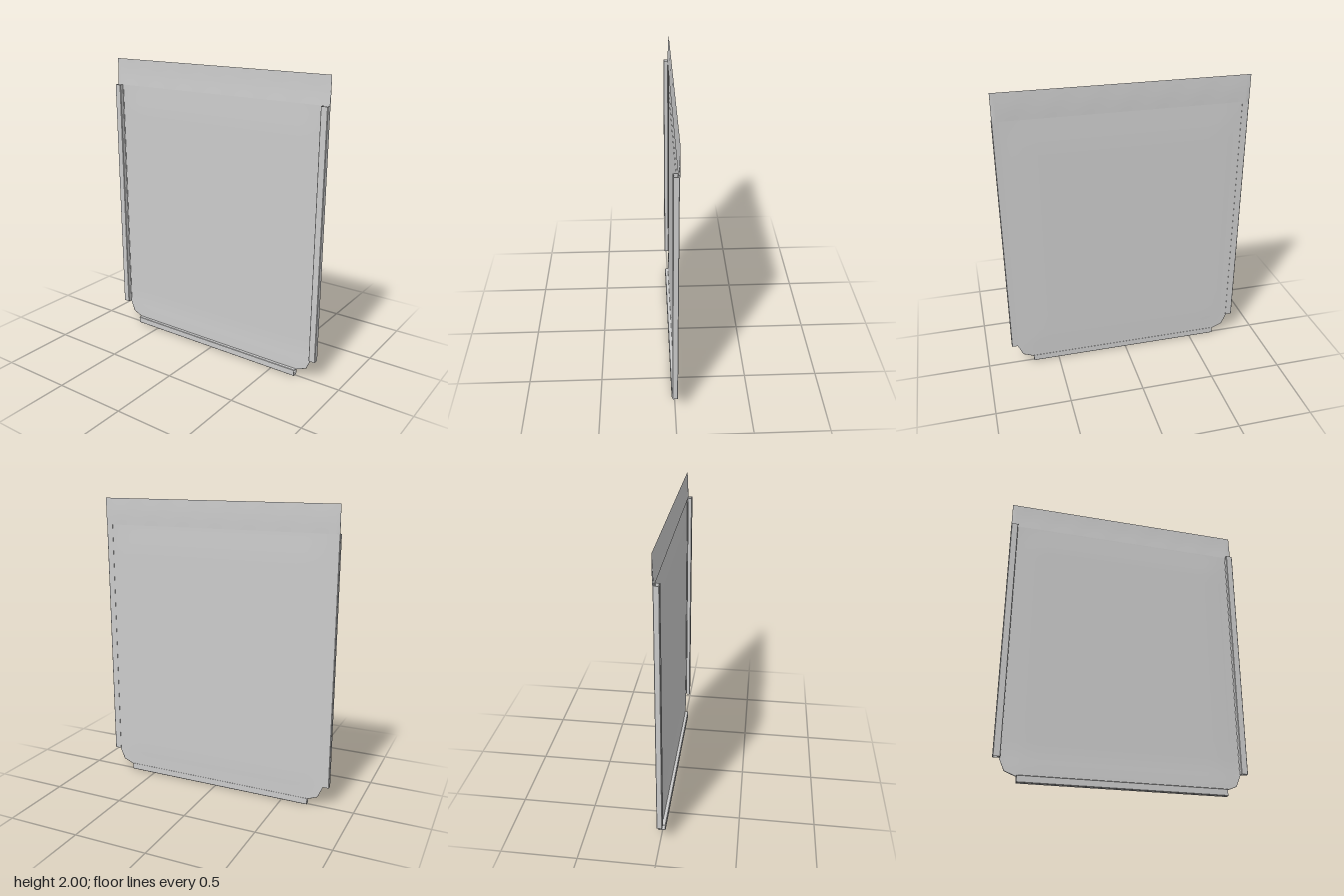
import * as THREE from 'three';

const metal = new THREE.MeshStandardMaterial({ color: 0xcccccc, side: THREE.DoubleSide });
const smooth = (a, b, t) => THREE.MathUtils.smoothstep(t, a, b);

// Closed thin sheet: every row is a loop across the front and back along the back
function sheet(name, rows, cols, halfWidth, frontZ, backZ) {
  const pos = [], index = [], n = cols.length * 2;
  for (const y of rows) {
    const w = halfWidth(y);
    for (const u of cols) pos.push(u * w, y, frontZ(u * w, y, u));
    for (const u of [...cols].reverse()) pos.push(u * w, y, backZ(u * w, y, u));
  }
  for (let r = 0; r < rows.length - 1; r++) {
    for (let i = 0; i < n; i++) {
      const a = r * n + i, b = r * n + (i + 1) % n;
      index.push(a, b, b + n, a, b + n, a + n);
    }
  }
  const geo = new THREE.BufferGeometry();
  geo.setAttribute('position', new THREE.Float32BufferAttribute(pos, 3));
  geo.setIndex(index);
  geo.computeVertexNormals();
  const mesh = new THREE.Mesh(geo, metal);
  mesh.name = name;
  return mesh;
}

// Folded hem: a C-shaped strip, s = 0 at the outer edge, running inwards
function hem(name, length, width) {
  const t = 0.005, zb = -0.016, zf = 0.02, c = 0.003;
  const s = new THREE.Shape([
    [width, zb], [c, zb], [0, zb + c], [0, zf - c], [c, zf], [width - c, zf], [width, zf - c],
    [width, -0.007], [width - t, -0.007], [width - t, zf - t], [t, zf - t], [t, zb + t], [width, zb + t],
  ].map(([x, y]) => new THREE.Vector2(x, y)));
  const geo = new THREE.ExtrudeGeometry(s, { depth: length, bevelEnabled: false });
  const mesh = new THREE.Mesh(geo, metal);
  mesh.name = name;
  return mesh;
}

export function createModel() {
  const group = new THREE.Group();

  // Main panel, faintly cushioned, with clipped lower corners
  const outline = [[0.04, 0.68], [0.07, 0.755], [0.15, 0.79], [1.82, 0.79]];
  const panelWidth = (y) => {
    for (let i = 1; i < outline.length; i++) {
      const [y0, w0] = outline[i - 1], [y1, w1] = outline[i];
      if (y <= y1) return w0 + (w1 - w0) * (y - y0) / (y1 - y0);
    }
    return 0.79;
  };
  const rows = [0.04, 0.07, 0.11, 0.15, 0.2, 0.26];
  for (let i = 1; i <= 12; i++) rows.push(0.26 + i * 0.11);
  rows.push(1.64, 1.7, 1.76, 1.82);
  const cols = [];
  for (let i = 0; i <= 24; i++) cols.push(-Math.cos(i / 24 * Math.PI));
  const sides = (x, y) => smooth(0, 0.17, 0.79 - Math.abs(x)) * smooth(0, 0.17, 1.82 - y);
  const bottom = (y) => 1 - smooth(0.04, 0.24, y);
  group.add(sheet('panel', rows, cols, panelWidth,
    (x, y) => -0.014 + 0.005 * sides(x, y) + 0.006 * bottom(y),
    (x, y) => -0.014 - 0.004 * sides(x, y) * (1 - bottom(y))));

  // Top flange, tapering upwards, with shallow ripples
  const flangeRows = [], flangeCols = [];
  for (let i = 0; i <= 8; i++) flangeRows.push(1.82 + i * 0.0225);
  for (let i = 0; i <= 56; i++) flangeCols.push(-1 + i / 28);
  const ripple = (u, y) => Math.sin((y - 1.82) / 0.18 * Math.PI) * (0.75 + 0.25 * Math.cos(u * 7 * Math.PI));
  group.add(sheet('topFlange', flangeRows, flangeCols, () => 0.828,
    (x, y, u) => -0.008 - 0.009 * (y - 1.82) / 0.18 - 0.002 * ripple(u, y),
    (x, y, u) => -0.018 - 0.002 * ripple(u, y)));

  // Side hems: profile runs inwards from the outer edge, length runs up
  for (const side of [1, -1]) {
    const m = hem(side > 0 ? 'leftHem' : 'rightHem', 1.67, 0.046);
    const x = new THREE.Vector3(-side, 0, 0), z = new THREE.Vector3(0, 0, 1);
    const up = x.clone().cross(z);
    m.geometry.applyMatrix4(new THREE.Matrix4().makeBasis(x, z, up));
    m.position.set(side * 0.83, side > 0 ? 0.15 : 1.82, 0);
    group.add(m);
  }

  // Bottom hem
  const low = hem('bottomHem', 1.36, 0.045);
  low.geometry.applyMatrix4(new THREE.Matrix4().makeBasis(
    new THREE.Vector3(0, 1, 0), new THREE.Vector3(0, 0, 1), new THREE.Vector3(1, 0, 0)));
  low.position.set(-0.68, 0, 0);
  group.add(low);

  return group;
}
